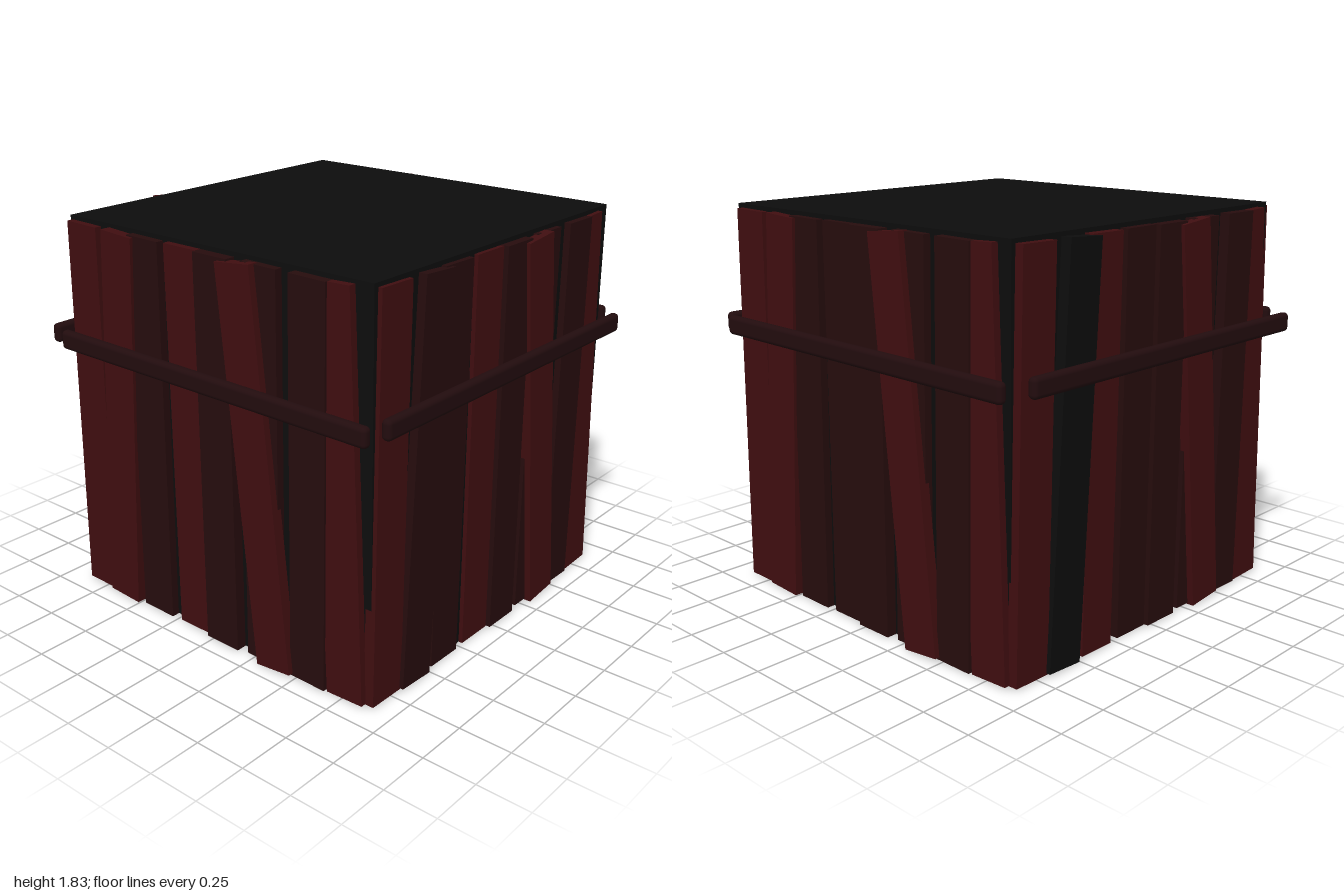
import * as THREE from 'three';
import { RoundedBoxGeometry } from 'three/addons/geometries/RoundedBoxGeometry.js';

const paint = (color) => new THREE.MeshStandardMaterial({ color });
const palette = {
  L: paint(0x400e10), // red plank
  D: paint(0x260c0d), // dark plank
  K: paint(0x0d0d0d), // black
};
const bandPaint = paint(0x220c0e);

// Plank layout shared by all sides: [top centre, bottom centre, outer face distance]
const planks = [
  [-0.75, -0.78, 0.9],
  [-0.5, -0.6, 0.92],
  [-0.35, -0.375, 0.905],
  [-0.125, -0.13, 0.9],
  [0.07, 0.065, 0.92],
  [0.21, 0.39, 0.937],
  [0.325, 0.305, 0.905],
  [0.585, 0.565, 0.912],
  [0.695, 0.765, 0.902],
];
const width = 0.19, bottom = 0.015, top = 1.825, thickness = 0.05;

// Each side: turn about y, plank colours, band shift along the side, distance and skew
const sides = [
  { name: 'front', turn: 0, colors: 'LDDLDLDDL', shift: 0.008, out: 0.953, skew: 0 },
  { name: 'right', turn: Math.PI / 2, colors: 'LLDDDLDDL', shift: 0.025, out: 0.96, skew: -0.015 },
  { name: 'back', turn: Math.PI, colors: 'LKLDDLDDL', shift: 0.035, out: 0.958, skew: 0 },
  { name: 'left', turn: -Math.PI / 2, colors: 'LLDLDLDDL', shift: 0.045, out: 0.967, skew: -0.008 },
];

function makeSide({ name, turn, colors, shift, out, skew }) {
  const side = new THREE.Group();
  side.name = name + 'Side';

  // Leaning planks
  planks.forEach(([t, b, face], i) => {
    const height = top - bottom;
    const plank = new THREE.Mesh(new THREE.BoxGeometry(width, height, thickness), palette[colors[i]]);
    plank.name = name + 'Plank' + (i + 1);
    plank.position.set((t + b) / 2, (top + bottom) / 2, face - thickness / 2);
    plank.rotation.z = Math.atan((b - t) / height);
    side.add(plank);
  });

  // Horizontal rounded band
  const band = new THREE.Mesh(new RoundedBoxGeometry(1.795, 0.09, 0.046, 3, 0.02), bandPaint);
  band.name = name + 'Band';
  band.position.set(shift, 1.283, out);
  band.rotation.set(0, skew, -0.003);
  side.add(band);

  side.rotation.y = turn;
  return side;
}

export function createModel() {
  const crate = new THREE.Group();
  crate.name = 'crate';

  // Solid dark core
  const core = new THREE.Mesh(new THREE.BoxGeometry(1.735, 1.83, 1.74), palette.K);
  core.name = 'core';
  core.position.set(0, 0.93, 0.01);
  crate.add(core);

  for (const side of sides) crate.add(makeSide(side));
  return crate;
}
